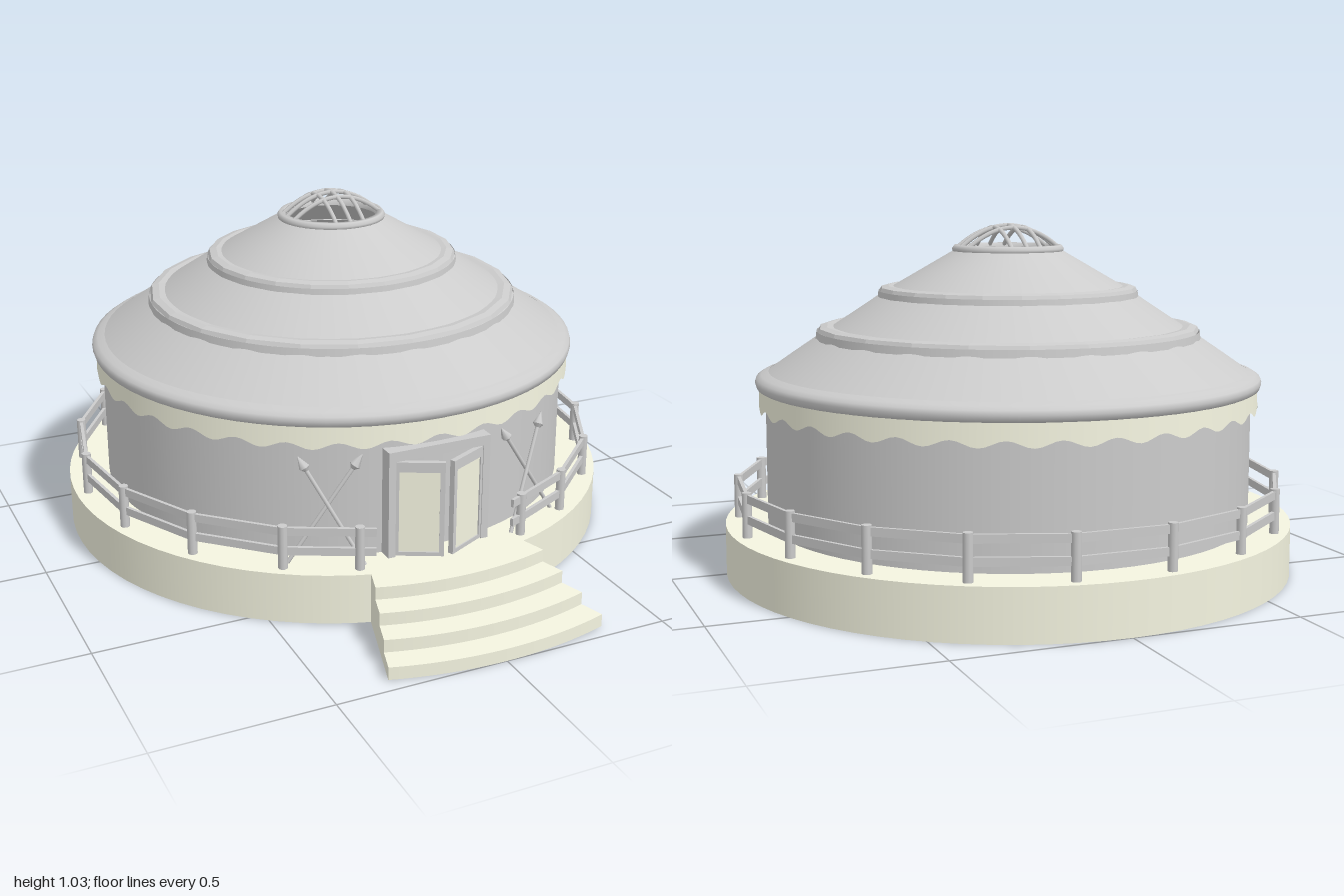
import * as THREE from 'three';

const grey = new THREE.MeshStandardMaterial({ color: 0xcccccc });
const greyThin = new THREE.MeshStandardMaterial({ color: 0xcccccc, side: THREE.DoubleSide });
const greyFlat = new THREE.MeshStandardMaterial({ color: 0xcccccc, side: THREE.DoubleSide, flatShading: true });
const cream = new THREE.MeshStandardMaterial({ color: 0xf4f4e0 });
const creamThin = new THREE.MeshStandardMaterial({ color: 0xf4f4e0, side: THREE.DoubleSide });

const V = (x, y, z) => new THREE.Vector3(x, y, z);

function add(parent, name, geometry, material, x = 0, y = 0, z = 0) {
  const mesh = new THREE.Mesh(geometry, material);
  mesh.name = name;
  mesh.position.set(x, y, z);
  parent.add(mesh);
  return mesh;
}

function group(parent, name) {
  const g = new THREE.Group();
  g.name = name;
  parent.add(g);
  return g;
}

// Round rod between two points
function rod(parent, name, a, b, r0, r1 = r0, sides = 8) {
  const dir = b.clone().sub(a);
  const m = add(parent, name, new THREE.CylinderGeometry(r1, r0, dir.length(), sides), grey);
  m.position.copy(a).add(b).multiplyScalar(0.5);
  m.quaternion.setFromUnitVectors(V(0, 1, 0), dir.normalize());
  return m;
}

// Square beam between two points of the same height
function beam(parent, name, a, b, height, depth) {
  const d = b.clone().sub(a);
  const m = add(parent, name, new THREE.BoxGeometry(d.length(), height, depth), grey);
  m.position.copy(a).add(b).multiplyScalar(0.5);
  m.rotation.y = Math.atan2(-d.z, d.x);
  return m;
}

const lathe = (pts, seg) => new THREE.LatheGeometry(pts.map(p => new THREE.Vector2(...p)), seg);

// Point on a circle round the centre; the angle starts at the back
const around = (deg, r, y, side) => {
  const a = THREE.MathUtils.degToRad(deg);
  return V(side * r * Math.sin(a), y, -r * Math.cos(a));
};

// Open cylinder whose lower edge hangs in waves
function wavyBand(rTop, rBottom, yTop, yBottom, waves, amp) {
  const g = new THREE.CylinderGeometry(rTop, rBottom, yTop - yBottom, waves * 8, 1, true);
  g.translate(0, (yTop + yBottom) / 2, 0);
  const p = g.attributes.position;
  for (let i = 0; i < p.count; i++) {
    if (p.getY(i) < yBottom + 0.001) {
      p.setY(i, yBottom + amp * Math.cos(waves * Math.atan2(p.getX(i), p.getZ(i))));
    }
  }
  return g;
}

function buildBase(parent) {
  add(parent, 'platform', new THREE.CylinderGeometry(0.85, 0.85, 0.15, 72), cream, 0, 0.075, 0);
  // Curved steps fanning out to the front
  const stairs = group(parent, 'stairs');
  const half = 0.291;
  for (let i = 0; i < 4; i++) {
    const rIn = i ? 0.85 + 0.075 * i : 0.84, rOut = 0.925 + 0.075 * i;
    const s = new THREE.Shape();
    s.absarc(0, 0, rOut, -Math.PI / 2 - half, -Math.PI / 2 + half, false);
    s.absarc(0, 0, rIn, -Math.PI / 2 + half, -Math.PI / 2 - half, true);
    const g = new THREE.ExtrudeGeometry(s, { depth: 0.15 - 0.0375 * i, bevelEnabled: false, curveSegments: 12 });
    add(stairs, 'step', g.rotateX(-Math.PI / 2), cream);
  }
}

function buildTent(parent) {
  const wall = new THREE.CylinderGeometry(0.725, 0.725, 0.42, 72, 1, true);
  add(parent, 'wall', wall, greyThin, 0, 0.36, 0);
  add(parent, 'valance', wavyBand(0.742, 0.745, 0.56, 0.492, 32, 0.01), creamThin);

  const roof = group(parent, 'roof');
  add(roof, 'roofCover', lathe([[0.735, 0.583], [0.65, 0.642], [0.56, 0.703], [0.46, 0.768],
    [0.36, 0.835], [0.26, 0.893], [0.15, 0.957]], 72), greyThin);
  // Rounded eave
  add(roof, 'eave', lathe([[0.72, 0.55], [0.738, 0.546], [0.75, 0.552], [0.755, 0.568],
    [0.751, 0.581], [0.737, 0.59], [0.715, 0.598]], 72), greyThin);
  // Two raised felt bands with wavy hems
  for (const [r, y] of [[0.572, 0.725], [0.387, 0.842]]) {
    add(roof, 'feltBandTop', lathe([[r, y - 0.012], [r - 0.006, y], [r - 0.027, y + 0.005],
      [r - 0.05, y + 0.002]], 22), greyFlat);
    add(roof, 'feltBandHem', wavyBand(r, r + 0.003, y - 0.01, y - 0.032, 22, 0.004), greyThin);
  }

  // Crown: ring with a lattice of arched bars over the smoke hole
  const crown = group(parent, 'crown');
  add(crown, 'crownRing', lathe([[0.142, 0.945], [0.165, 0.945], [0.167, 0.956], [0.16, 0.966],
    [0.145, 0.966], [0.142, 0.945]], 48), greyThin);
  for (const turn of [0, Math.PI / 2]) {
    for (const o of [-0.045, 0, 0.045]) {
      const w = Math.sqrt(0.152 ** 2 - o * o);
      const pts = [];
      for (let i = 0; i <= 8; i++) {
        const t = -w + w * i / 4;
        pts.push(V(t, 0.958 + 0.066 * (1 - (t * t + o * o) / 0.152 ** 2), o));
      }
      const g = new THREE.TubeGeometry(new THREE.CatmullRomCurve3(pts), 20, 0.007, 6);
      add(crown, 'crownBar', g, grey).rotation.y = turn;
    }
  }
}

function buildDoor(parent) {
  const door = group(parent, 'doorway');
  add(door, 'lintel', new THREE.BoxGeometry(0.32, 0.03, 0.06), grey, 0, 0.458, 0.72);
  for (const s of [-1, 1]) {
    add(door, 'doorJamb', new THREE.BoxGeometry(0.022, 0.295, 0.06), grey, s * 0.149, 0.2965, 0.72);
    // Leaf standing ajar, hinged at the jamb
    const leaf = group(door, 'doorLeaf');
    leaf.position.set(s * 0.138, 0.153, 0.738);
    leaf.rotation.y = s * 0.46;
    const w = 0.142, cx = -s * w / 2;
    add(leaf, 'doorPanel', new THREE.BoxGeometry(w - 0.024, 0.265, 0.008), cream, cx, 0.1365, 0);
    for (const e of [-1, 1]) {
      add(leaf, 'doorStile', new THREE.BoxGeometry(0.014, 0.288, 0.016), grey, cx + e * (w / 2 - 0.007), 0.144, 0);
    }
    add(leaf, 'doorTopRail', new THREE.BoxGeometry(w - 0.028, 0.03, 0.016), grey, cx, 0.273, 0);
    add(leaf, 'doorBottomRail', new THREE.BoxGeometry(w - 0.028, 0.012, 0.016), grey, cx, 0.006, 0);
  }
}

// Crossed spears leaning on the wall, either side of the door
function buildSpears(parent) {
  for (const s of [-1, 1]) {
    const pairs = [
      [V(s * 0.235, 0.15, 0.755), V(s * 0.39, 0.465, 0.645)],
      [V(s * 0.43, 0.15, 0.655), V(s * 0.22, 0.465, 0.705)],
    ];
    for (const [foot, tip] of pairs) {
      const spear = group(parent, 'spear');
      const neck = foot.clone().lerp(tip, 0.87);
      rod(spear, 'spearShaft', foot, neck, 0.006);
      const mid = foot.clone().lerp(tip, 0.9);
      rod(spear, 'spearSocket', neck, mid, 0.007, 0.016, 6);
      rod(spear, 'spearPoint', mid, tip, 0.016, 0.001, 6);
    }
  }
}

function buildFence(parent) {
  const fence = group(parent, 'fence');
  const angles = [0, 1, 2, 3, 4, 5, 6, 7].map(k => 9.8 + 19.5 * k).concat(161.5);
  const R = 0.812;
  const rails = (a, b) => {
    for (const y of [0.203, 0.263]) {
      beam(fence, 'fenceRail', a.clone().setY(y), b.clone().setY(y), 0.024, 0.01);
    }
  };
  for (const s of [-1, 1]) {
    angles.forEach((deg, i) => {
      const p = around(deg, R, 0.15, s);
      rod(fence, 'fencePost', p, p.clone().setY(0.28), 0.014, 0.014, 10);
      if (i) rails(around(angles[i - 1], R, 0, s), p);
    });
    // Short overhang beside the stairs
    rails(around(161.5, R, 0, s), around(164.7, R + 0.006, 0, s));
  }
  rails(around(9.8, R, 0, -1), around(9.8, R, 0, 1));
}

export function createModel() {
  const model = new THREE.Group();
  model.name = 'roundTent';
  const body = group(model, 'tentOnPlatform');
  body.position.z = -0.15;
  buildBase(body);
  buildTent(body);
  buildDoor(body);
  buildSpears(body);
  buildFence(body);
  return model;
}
